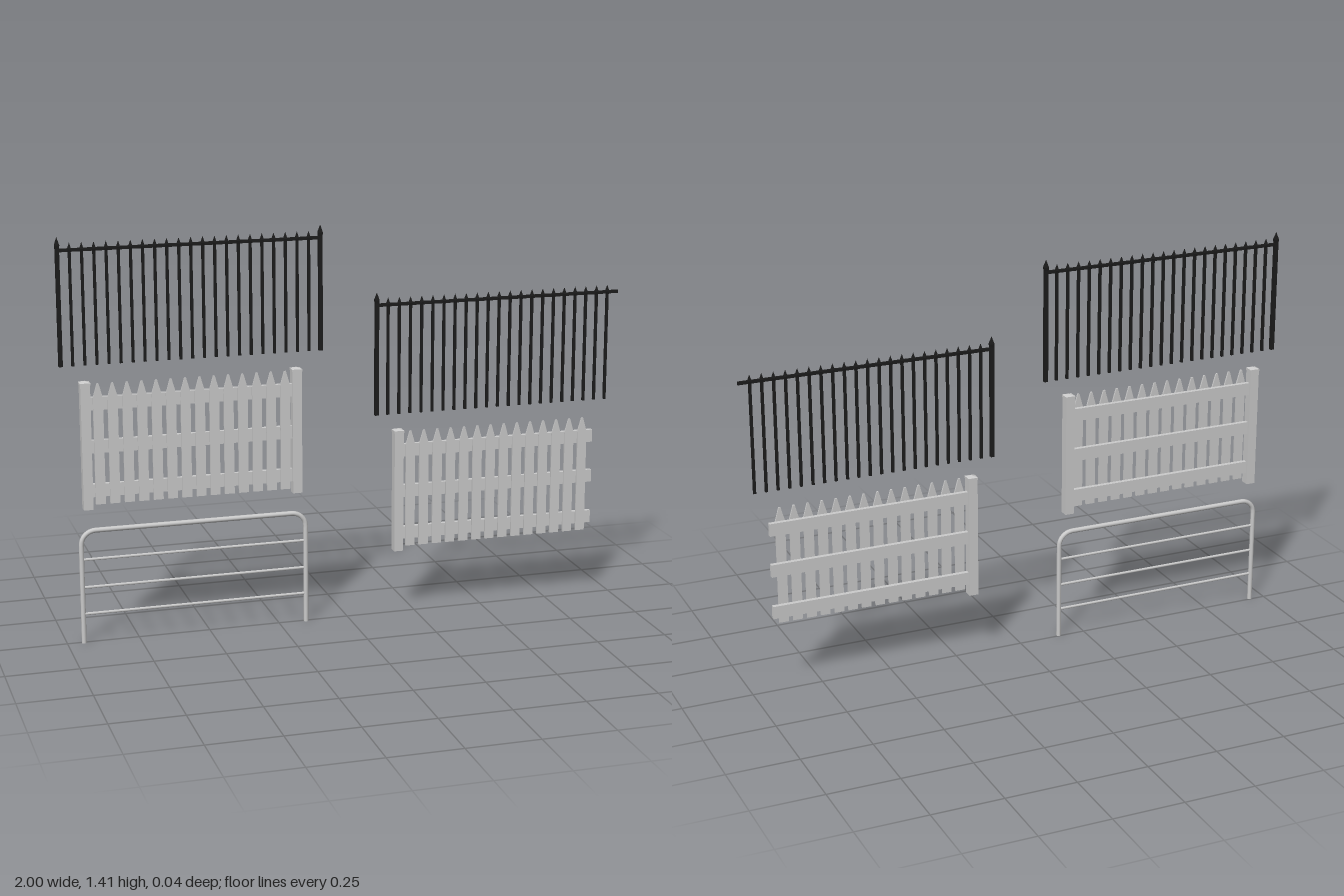
import * as THREE from 'three';

const grey = new THREE.MeshStandardMaterial({ color: 0xcccccc });
const greyFlat = new THREE.MeshStandardMaterial({ color: 0xcccccc, flatShading: true });
const iron = new THREE.MeshStandardMaterial({ color: 0x1c1c1c, flatShading: true });

function add(parent, name, geometry, material, x = 0, y = 0, z = 0) {
  const mesh = new THREE.Mesh(geometry, material);
  mesh.name = name;
  mesh.position.set(x, y, z);
  parent.add(mesh);
  return mesh;
}

// Square column whose half-width follows [halfWidth, y] steps
function squareColumn(steps) {
  const points = steps.map(([w, y]) => new THREE.Vector2(w * Math.SQRT2, y));
  return new THREE.LatheGeometry(points, 4, Math.PI / 4);
}

// Square iron bar with a spear head
function spearBar(half, flare, height, head) {
  return squareColumn([[0, 0], [half, 0], [half, height - head], [flare, height - head * 0.7], [0, height]]);
}

// Iron panel, origin at the foot of its first post
function ironPanel(closed) {
  const panel = new THREE.Group();
  panel.name = closed ? 'ironFenceClosed' : 'ironFenceOpen';
  const length = 0.896, gaps = 22;
  const post = spearBar(0.0068, 0.0078, 0.435, 0.038);
  const bar = spearBar(0.0045, 0.0062, 0.415, 0.032);
  add(panel, 'ironPost', post, iron);
  if (closed) add(panel, 'ironPost', post, iron, length);
  for (let i = 1; i < gaps; i++) add(panel, 'ironBar', bar, iron, (length * i) / gaps);
  add(panel, 'ironRail', new THREE.BoxGeometry(length, 0.011, 0.008), iron, length / 2, 0.39);
  return panel;
}

// Wooden panel, origin at the foot of its first post
function woodPanel(closed) {
  const panel = new THREE.Group();
  panel.name = closed ? 'picketFenceClosed' : 'picketFenceOpen';
  const length = 0.732;

  // Posts with a low pyramid cap
  const post = squareColumn([[0, 0], [0.0165, 0], [0.0165, 0.432], [0.018, 0.432], [0.018, 0.44], [0, 0.446]]);
  add(panel, 'woodPost', post, greyFlat);
  if (closed) add(panel, 'woodPost', post, greyFlat, length);

  // Rails behind the pickets
  const rail = new THREE.BoxGeometry(length, 0.045, 0.016);
  for (const y of [0.064, 0.217, 0.366]) add(panel, 'woodRail', rail, greyFlat, length / 2, y, -0.001);

  // Pointed pickets
  const w = 0.017;
  const outline = new THREE.Shape([[-w, 0], [w, 0], [w, 0.37], [0.003, 0.419], [-0.003, 0.419], [-w, 0.37]]
    .map(([x, y]) => new THREE.Vector2(x, y)));
  const picket = new THREE.ExtrudeGeometry(outline, { depth: 0.007, bevelEnabled: false });
  for (let i = 0; i < 14; i++) add(panel, 'picket', picket, greyFlat, 0.0425 + i * 0.0498, 0.017, 0.007);
  return panel;
}

// Bent tube frame with three thin cross bars
function tubeBarrier() {
  const barrier = new THREE.Group();
  barrier.name = 'tubeBarrier';
  const half = 0.395, top = 0.4, bend = 0.05;
  const points = [new THREE.Vector3(-half, 0, 0)];
  for (const side of [-1, 1]) {
    for (let i = 0; i <= 8; i++) {
      const t = (side < 0 ? i : 8 - i) / 8 * Math.PI / 2;
      points.push(new THREE.Vector3(side * (half - bend + bend * Math.cos(t)), top - bend + bend * Math.sin(t), 0));
    }
  }
  points.push(new THREE.Vector3(half, 0, 0));
  const path = new THREE.CurvePath();
  for (let i = 1; i < points.length; i++) path.add(new THREE.LineCurve3(points[i - 1], points[i]));
  add(barrier, 'tubeFrame', new THREE.TubeGeometry(path, 220, 0.0085, 10), grey);

  // Closed feet
  const foot = new THREE.CircleGeometry(0.0085, 10).rotateX(Math.PI / 2);
  for (const x of [-half, half]) add(barrier, 'footCap', foot, grey, x);

  const bar = new THREE.CylinderGeometry(0.005, 0.005, half * 2, 8).rotateZ(Math.PI / 2);
  for (const y of [0.104, 0.199, 0.298]) add(barrier, 'crossBar', bar, grey, 0, y);
  return barrier;
}

export function createModel() {
  const model = new THREE.Group();
  model.name = 'fenceSet';
  const place = (part, x, y, z) => {
    part.position.set(x, y, z);
    model.add(part);
  };
  place(ironPanel(true), -0.993, 0.975, 0.006);
  place(ironPanel(false), 0.105, 0.73, 0.006);
  place(woodPanel(true), -0.915, 0.475, 0);
  place(woodPanel(false), 0.186, 0.23, 0);
  place(tubeBarrier(), -0.548, 0, 0.006);
  return model;
}
